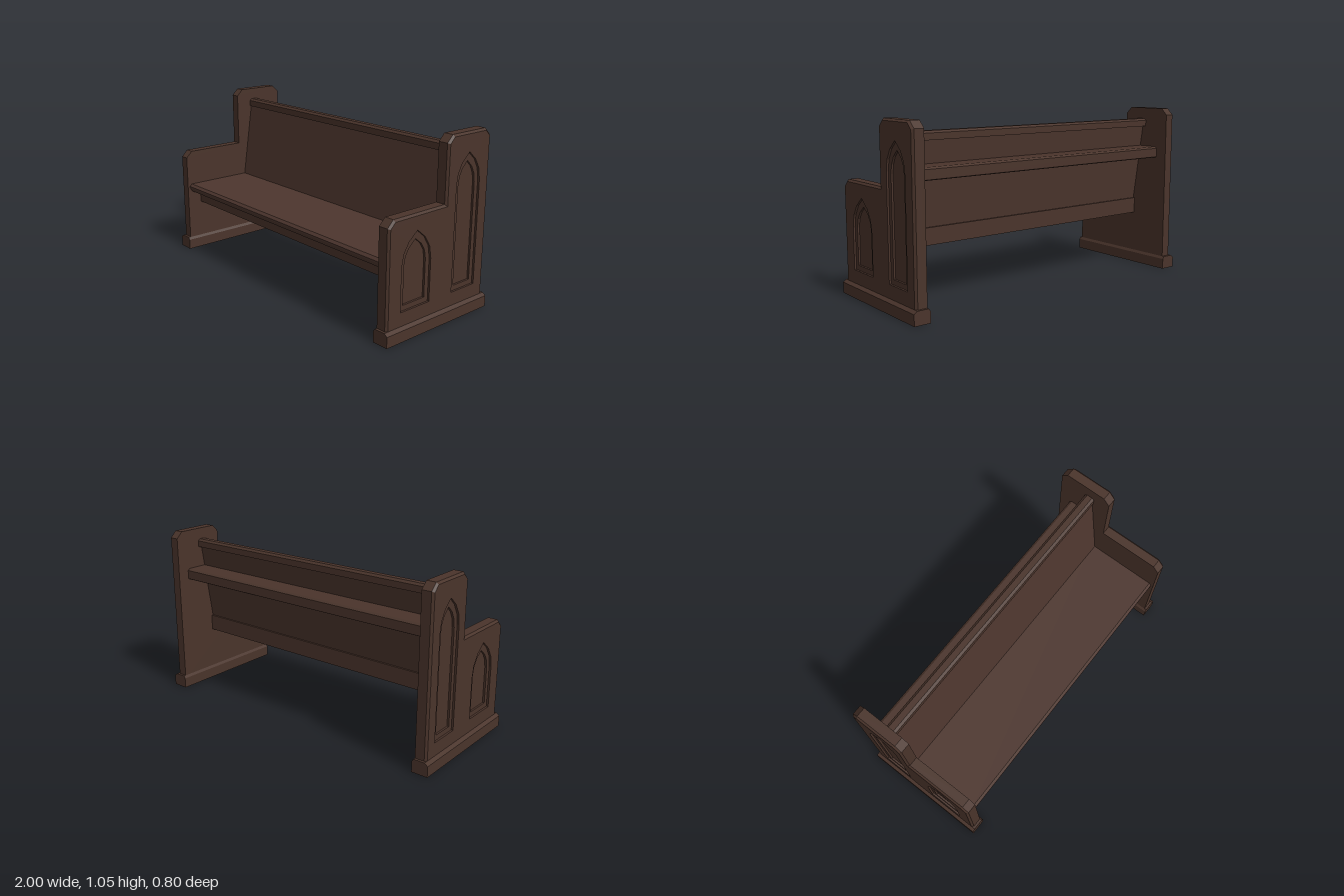
import * as THREE from 'three';

const wood = new THREE.MeshStandardMaterial({ color: 0x4a342b });
wood.name = 'dark wood';
const panelWood = new THREE.MeshStandardMaterial({ color: 0x4d362e });
panelWood.name = 'reddish wood';

// Profiles are lists of [z, y]; they are extruded along x.
const toShape = (pts) => new THREE.Shape(pts.map(([z, y]) => new THREE.Vector2(-z, y)));

function extrudeX(name, shape, x0, x1, material = wood) {
  const geo = new THREE.ExtrudeGeometry(shape, { depth: x1 - x0, bevelEnabled: false, curveSegments: 3 });
  geo.rotateY(Math.PI / 2).translate(x0, 0, 0);
  const mesh = new THREE.Mesh(geo, material);
  mesh.name = name;
  return mesh;
}

// Pointed arch outline used as a hole
function arch(z, halfWidth, bottom, spring, apex) {
  const p = new THREE.Path();
  const u = -z;
  const control = spring + (apex - spring) * 0.62;
  p.moveTo(u - halfWidth, bottom);
  p.lineTo(u + halfWidth, bottom);
  p.lineTo(u + halfWidth, spring);
  p.quadraticCurveTo(u + halfWidth, control, u, apex);
  p.quadraticCurveTo(u - halfWidth, control, u - halfWidth, spring);
  p.closePath();
  return p;
}

// Sloping edge between an outline and its inset
function bevelStrip(outer, inner, x0, x1) {
  const pos = [];
  for (let i = 0; i < outer.length - 1; i++) {
    const a0 = [x0, outer[i][1], outer[i][0]], a1 = [x0, outer[i + 1][1], outer[i + 1][0]];
    const b0 = [x1, inner[i][1], inner[i][0]], b1 = [x1, inner[i + 1][1], inner[i + 1][0]];
    pos.push(...a0, ...b1, ...a1, ...a0, ...b0, ...b1);
  }
  const geo = new THREE.BufferGeometry();
  geo.setAttribute('position', new THREE.Float32BufferAttribute(pos, 3));
  geo.computeVertexNormals();
  const mesh = new THREE.Mesh(geo, wood);
  mesh.name = 'endBevel';
  return mesh;
}

function createEnd() {
  const end = new THREE.Group();
  const outline = [[0.385, 0.05], [0.385, 0.64], [0.345, 0.68], [-0.04, 0.68], [-0.04, 1.01],
    [-0.08, 1.05], [-0.345, 1.05], [-0.385, 1.01], [-0.385, 0.05]];
  const inset = [[0.373, 0.05], [0.373, 0.635], [0.34, 0.668], [-0.052, 0.668], [-0.052, 1.005],
    [-0.085, 1.038], [-0.34, 1.038], [-0.373, 1.005], [-0.373, 0.05]];

  // Solid core, then two layers whose arched holes step outwards
  end.add(extrudeX('endCore', toShape(outline), 0.91, 0.956));
  const middle = toShape(outline);
  middle.holes.push(arch(0.175, 0.081, 0.19, 0.41, 0.54), arch(-0.211, 0.067, 0.19, 0.76, 0.89));
  end.add(extrudeX('innerArchLayer', middle, 0.956, 0.968));
  const face = toShape(inset);
  face.holes.push(arch(0.175, 0.11, 0.16, 0.41, 0.59), arch(-0.211, 0.095, 0.16, 0.77, 0.94));
  end.add(extrudeX('outerArchLayer', face, 0.968, 0.98));
  end.add(bevelStrip(outline, inset, 0.968, 0.98));

  // Plinth with chamfered long edges
  const foot = new THREE.Shape([[0.9, 0], [1, 0], [1, 0.065], [0.98, 0.08], [0.91, 0.08], [0.9, 0.065]]
    .map(([x, y]) => new THREE.Vector2(x, y)));
  const footGeo = new THREE.ExtrudeGeometry(foot, { depth: 0.8, bevelEnabled: false });
  footGeo.translate(0, 0, -0.4);
  const plinth = new THREE.Mesh(footGeo, wood);
  plinth.name = 'plinth';
  end.add(plinth);
  return end;
}

export function createModel() {
  const pew = new THREE.Group();
  pew.name = 'pew';

  // Pair of carved ends
  const left = createEnd();
  left.name = 'leftEnd';
  const right = createEnd();
  right.name = 'rightEnd';
  right.scale.x = -1;
  pew.add(left, right);

  // Long boards between the ends
  const boards = [
    ['seat', [[-0.11, 0.405], [0.355, 0.405], [0.37, 0.43], [0.37, 0.44], [0.355, 0.455], [-0.11, 0.455]], panelWood],
    ['backrest', [[-0.078, 0.43], [-0.155, 0.94], [-0.187, 0.94], [-0.11, 0.41]], panelWood],
    ['topRail', [[-0.145, 0.93], [-0.145, 0.968], [-0.16, 0.98], [-0.195, 0.98], [-0.21, 0.968], [-0.21, 0.93]], wood],
    ['bookShelf', [[-0.14, 0.74], [-0.15, 0.8], [-0.295, 0.8], [-0.31, 0.79], [-0.31, 0.735], [-0.3, 0.73], [-0.14, 0.73]], wood],
    ['frontApron', [[0.29, 0.32], [0.29, 0.41], [0.26, 0.41], [0.26, 0.32]], wood],
    ['rearRail', [[-0.09, 0.34], [-0.09, 0.44], [-0.125, 0.44], [-0.125, 0.34]], wood],
  ];
  for (const [name, profile, material] of boards) {
    pew.add(extrudeX(name, toShape(profile), -0.911, 0.911, material));
  }
  return pew;
}
